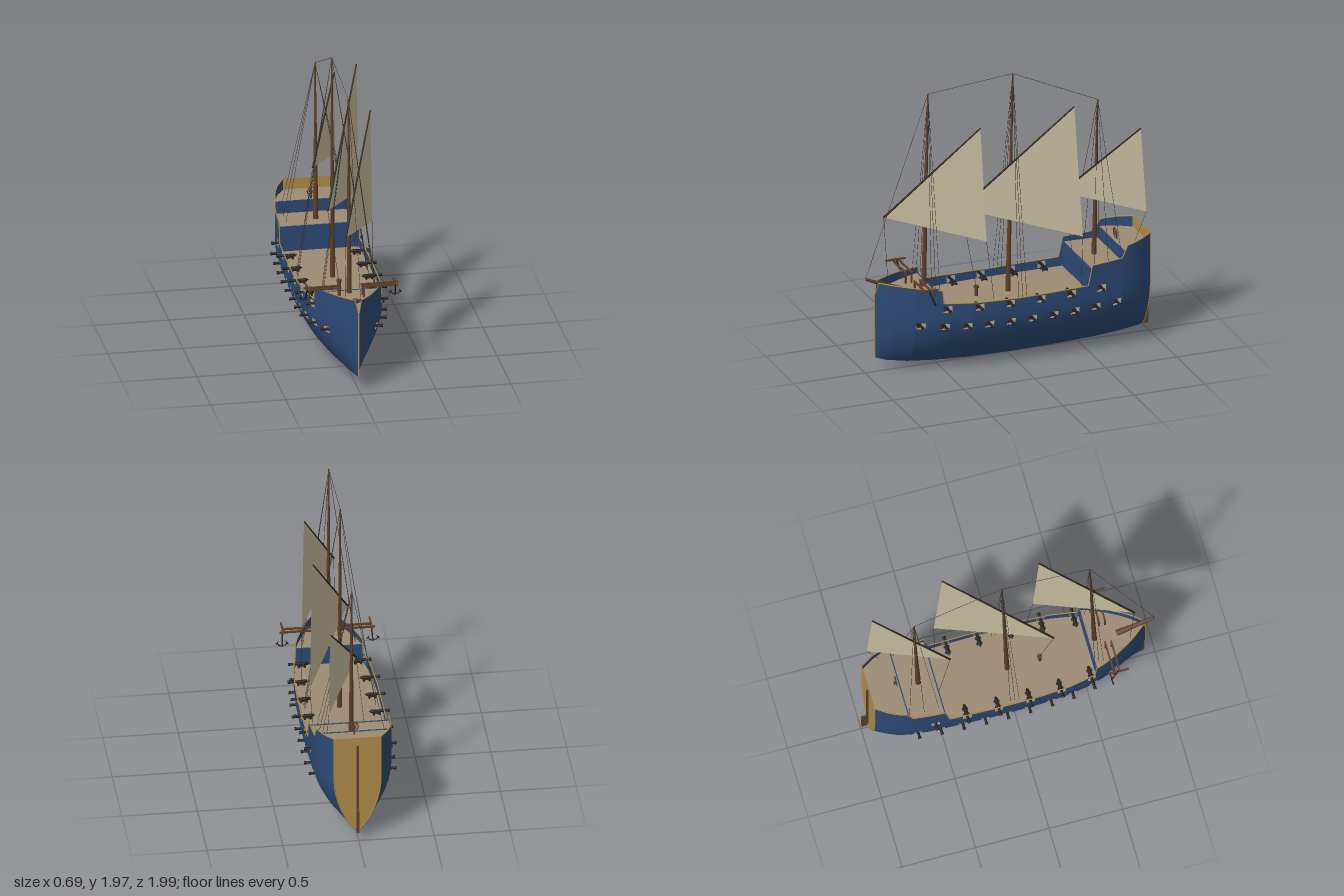
import * as THREE from 'three';
import { mergeGeometries } from 'three/addons/utils/BufferGeometryUtils.js';

const mat = (name, color, side = THREE.FrontSide) => {
  const m = new THREE.MeshStandardMaterial({ color, side });
  m.name = name;
  return m;
};

// piecewise linear lookup; table sorted by falling z
function lerpTable(table, z) {
  if (z >= table[0][0]) return table[0][1];
  for (let i = 1; i < table.length; i++) {
    const [z0, v0] = table[i - 1], [z1, v1] = table[i];
    if (z >= z1) return v0 + (v1 - v0) * (z0 - z) / (z0 - z1);
  }
  return table[table.length - 1][1];
}

// hull lines: half beam, keel height and rail height along z
const BEAM = [[0.93, 0.003], [0.9, 0.03], [0.85, 0.07], [0.8, 0.105], [0.7, 0.16], [0.6, 0.203], [0.5, 0.233], [0.35, 0.258],
  [0.15, 0.27], [-0.15, 0.273], [-0.45, 0.267], [-0.6, 0.262], [-0.72, 0.252], [-0.8, 0.235], [-0.87, 0.206], [-0.95, 0.155]];
const KEEL = [[0.93, 0.1], [0.85, 0.07], [0.7, 0.04], [0.5, 0.018], [0.3, 0.007], [0, 0], [-0.3, 0.004], [-0.6, 0.014], [-0.8, 0.03], [-0.95, 0.052]];
const RAIL = [[0.93, 0.55], [0.91, 0.63], [0.54, 0.597], [0.53, 0.505], [0.3, 0.492], [0, 0.486], [-0.47, 0.496],
  [-0.5, 0.635], [-0.715, 0.65], [-0.755, 0.73], [-0.95, 0.757]];
const STERN = -0.95, PORT_W = 0.029, PORT_H = 0.023;
const upperPorts = [0, 1, 2, 3, 4, 5].map(i => 0.505 - i * 0.214);
const lowerPorts = [...Array(10).keys()].map(i => 0.67 - i * 0.15);
const upperY = z => 0.456 + 0.03 * z * z;
const lowerY = z => 0.325 + 0.04 * z * z;

function halfWidth(y, z) {
  const t = THREE.MathUtils.clamp((y - lerpTable(KEEL, z)) / 0.4, 0, 1);
  return lerpTable(BEAM, z) * Math.pow(1 - (1 - t) ** 2, 0.8);
}

// heights of one hull section; rows 8 and 11 carry the gun ports
function sectionHeights(z) {
  const k = lerpTable(KEEL, z), lo = lowerY(z), up = upperY(z), rail = lerpTable(RAIL, z);
  const ys = [];
  for (let i = 0; i <= 8; i++) ys.push(k + (lo - PORT_H - k) * Math.pow(i / 8, 1.6));
  ys.push(lo + PORT_H, (lo + up) / 2, up - PORT_H, up + PORT_H, (up + PORT_H + rail) / 2, rail);
  return ys;
}

const stations = [...new Set([...BEAM, ...KEEL, ...RAIL].map(p => p[0])
  .concat(...[...upperPorts, ...lowerPorts].map(z => [z - PORT_W, z + PORT_W]))
  .map(z => Math.round(z * 1000) / 1000))].sort((a, b) => b - a);

// hull skin of one side with open gun ports
function hullSide(s) {
  const pos = [], idx = [], n = sectionHeights(0).length;
  for (const z of stations) for (const y of sectionHeights(z)) pos.push(s * halfWidth(y, z), y, z);
  const isPort = (list, z) => list.some(p => Math.abs(p - z) < PORT_W - 0.001);
  for (let i = 0; i < stations.length - 1; i++) {
    const zm = (stations[i] + stations[i + 1]) / 2;
    for (let j = 0; j < n - 1; j++) {
      if ((j === 8 && isPort(lowerPorts, zm)) || (j === 11 && isPort(upperPorts, zm))) continue;
      const a = i * n + j, b = a + 1, c = a + n, d = c + 1;
      if (s > 0) idx.push(a, c, b, b, c, d);
      else idx.push(a, b, c, b, d, c);
    }
  }
  const g = new THREE.BufferGeometry();
  g.setAttribute('position', new THREE.Float32BufferAttribute(pos, 3));
  g.setIndex(idx);
  g.computeVertexNormals();
  return g;
}

// tapered round bar between two points
function rod(a, b, ra, rb = ra, sides = 8) {
  const p = new THREE.Vector3(...a), q = new THREE.Vector3(...b), d = q.clone().sub(p);
  const g = new THREE.CylinderGeometry(rb, ra, d.length(), sides);
  g.applyQuaternion(new THREE.Quaternion().setFromUnitVectors(new THREE.Vector3(0, 1, 0), d.normalize()));
  return g.translate(...p.add(q).multiplyScalar(0.5).toArray());
}
const box = (w, h, d, x, y, z) => new THREE.BoxGeometry(w, h, d).translate(x, y, z);

export function createModel() {
  const hullBlue = mat('hull blue', 0x2c4a75, THREE.DoubleSide), gold = mat('gold trim', 0xb08d48, THREE.DoubleSide);
  const deckTan = mat('deck planks', 0x9c8b74, THREE.DoubleSide), sailCloth = mat('sail cloth', 0xc8bda0, THREE.DoubleSide);
  const wood = mat('brown wood', 0x5e4029), darkWood = mat('dark wood', 0x33261b);
  const iron = mat('iron', 0x1f1e1d), rope = mat('rope', 0x38332c);

  const ship = new THREE.Group();
  ship.name = 'sailingShip';
  const add = (name, geo, material, parent = ship) => {
    const m = new THREE.Mesh(Array.isArray(geo) ? mergeGeometries(geo) : geo, material);
    m.name = name;
    parent.add(m);
    return m;
  };

  // hull, stern board and trim
  const trim = [rod([0, 0.1, 0.93], [0, 0.55, 0.933], 0.005)];
  const sternYs = sectionHeights(STERN);
  for (const s of [1, -1]) {
    add(s > 0 ? 'hullLeft' : 'hullRight', hullSide(s), hullBlue);
    const railPts = stations.map(z => [s * lerpTable(BEAM, z), lerpTable(RAIL, z), z]);
    for (let i = 1; i < railPts.length; i++) trim.push(rod(railPts[i - 1], railPts[i], 0.004, 0.004, 6));
    for (let i = 1; i < sternYs.length; i++) {
      const [y0, y1] = [sternYs[i - 1], sternYs[i]];
      trim.push(rod([s * halfWidth(y0, STERN), y0, STERN], [s * halfWidth(y1, STERN), y1, STERN], 0.004, 0.004, 6));
    }
  }
  add('trim', trim, gold);
  const right = sternYs.map(y => new THREE.Vector2(halfWidth(y, STERN), y));
  const left = right.slice(1).reverse().map(p => new THREE.Vector2(-p.x, p.y));
  add('transom', new THREE.ShapeGeometry(new THREE.Shape([...right, ...left])).translate(0, 0, STERN), gold);

  // decks cut to the hull outline
  const deck = (name, y, zFront, zBack) => {
    const zs = [zFront, ...stations.filter(z => z < zFront && z > zBack), zBack];
    const pts = zs.map(z => new THREE.Vector2(halfWidth(y, z) - 0.001, -z));
    const shape = new THREE.Shape([...pts, ...pts.slice().reverse().map(p => new THREE.Vector2(-p.x, p.y))]);
    add(name, new THREE.ShapeGeometry(shape).rotateX(-Math.PI / 2).translate(0, y, 0), deckTan);
  };
  deck('gunDeck', 0.298, 0.85, -0.9);
  deck('mainDeck', 0.43, 0.6, -0.74);
  deck('foreDeck', 0.555, 0.925, 0.545);
  deck('quarterDeck', 0.6, -0.5, -0.74);
  deck('poopDeck', 0.68, -0.74, STERN);
  for (const [name, z, y0, y1] of [['foreBulkhead', 0.545, 0.43, 0.558], ['quarterBulkhead', -0.5, 0.43, 0.604], ['poopBulkhead', -0.742, 0.6, 0.684]])
    add(name, box(2 * halfWidth(y0, z) - 0.004, y1 - y0, 0.008, 0, (y0 + y1) / 2, z), hullBlue);

  // cannons: barrel and wheeled carriage, muzzle towards +x
  const barrel = new THREE.LatheGeometry([[0, -0.095], [0.004, -0.092], [0.004, -0.086], [0.011, -0.083], [0.011, -0.06], [0.008, 0.025], [0.011, 0.03],
    [0.011, 0.042], [0.006, 0.042], [0.005, 0.03], [0, 0.03]].map(p => new THREE.Vector2(...p)), 10).rotateZ(-Math.PI / 2);
  const carriageParts = [box(0.055, 0.009, 0.026, -0.045, -0.011, 0)];
  for (const x of [-0.064, -0.026]) for (const z of [-0.016, 0.016])
    carriageParts.push(new THREE.CylinderGeometry(0.008, 0.008, 0.007, 10).rotateX(Math.PI / 2).translate(x, -0.015, z));
  for (const z of [-0.0115, 0.0115]) carriageParts.push(box(0.04, 0.012, 0.004, -0.045, -0.003, z));
  const carriage = mergeGeometries(carriageParts);
  for (const [ports, heightAt] of [[upperPorts, upperY], [lowerPorts, lowerY]])
    for (const z of ports) for (const s of [1, -1]) {
      const gun = new THREE.Group();
      gun.name = 'cannon';
      add('barrel', barrel, iron, gun);
      add('carriage', carriage, darkWood, gun);
      gun.position.set(s * halfWidth(heightAt(z), z), heightAt(z), z);
      gun.rotation.y = s > 0 ? 0 : Math.PI;
      ship.add(gun);
    }

  // masts with lateen yard and sail: base, top, tack, peak, clew, shroud feet [x, y, z list], sheet foot
  const rigs = [
    ['fore', [0, 0.55, 0.585], [0, 1.91, 0.555], [-0.07, 1.05, 0.84], [0.2, 1.7, 0.265], [0.22, 0.9, 0.23], [0.175, 0.58, [0.54, 0.57, 0.6]], [0.227, 0.49, 0.18]],
    ['main', [0, 0.43, -0.008], [0, 1.965, -0.042], [-0.088, 1.02, 0.287], [0.228, 1.765, -0.385], [0.25, 0.845, -0.437], [0.235, 0.45, [-0.05, -0.02, 0.01]], [0.227, 0.49, -0.435]],
    ['mizzen', [0, 0.6, -0.614], [0, 1.69, -0.64], [-0.058, 1.045, -0.41], [0.172, 1.515, -0.877], [0.185, 0.925, -0.91], [0.215, 0.62, [-0.53, -0.63, -0.73]], [0.185, 0.73, -0.83]]];
  const lines = [], line = (a, b) => lines.push(rod(a, b, 0.0014, 0.0014, 4));
  for (const [name, base, top, tack, peak, clew, feet, sheet] of rigs) {
    add(name + 'Mast', rod(base, top, 0.017, 0.005, 12), wood);
    add(name + 'Yard', rod(tack, peak, 0.007, 0.005), darkWood);
    const g = new THREE.BufferGeometry();
    g.setAttribute('position', new THREE.Float32BufferAttribute([...tack, ...clew, ...peak], 3));
    g.computeVertexNormals();
    add(name + 'Sail', g, sailCloth);
    for (const s of [1, -1]) for (const z of feet[2]) line(top, [s * feet[0], feet[1], z]);
    line(clew, sheet);
  }
  line([0, 0.665, 0.995], rigs[0][2]);
  line(rigs[0][2], rigs[1][2]);
  line(rigs[1][2], rigs[2][2]);
  line(rigs[0][3], [-0.07, 0.6, 0.81]);
  line(rigs[1][3], [0, 0.49, 0.215]);
  line(rigs[2][3], [-0.1, 0.6, -0.5]);
  add('rigging', lines, rope);

  // bowsprit, capstan, rudder
  add('bowsprit', rod([0, 0.553, 0.74], [0, 0.662, 0.993], 0.021, 0.009, 10), wood);
  add('capstan', [rod([0, 0.43, 0.215], [0, 0.485, 0.215], 0.013, 0.013, 12), rod([0, 0.485, 0.215], [0, 0.5, 0.215], 0.017, 0.017, 12)], wood);
  add('rudder', [box(0.014, 0.165, 0.04, 0, 0.137, -0.977), box(0.012, 0.62, 0.012, 0, 0.39, -0.957)], wood);

  // steering wheel
  const wheel = [new THREE.TorusGeometry(0.028, 0.003, 6, 20).translate(0, 0.73, -0.762)];
  for (let i = 0; i < 4; i++) {
    const c = 0.038 * Math.cos(i * Math.PI / 4), s = 0.038 * Math.sin(i * Math.PI / 4);
    wheel.push(rod([-c, 0.73 - s, -0.762], [c, 0.73 + s, -0.762], 0.002, 0.002, 5));
  }
  wheel.push(box(0.01, 0.055, 0.01, 0, 0.706, -0.772));
  add('steeringWheel', wheel, wood);

  // anchor beams and hanging anchors
  for (const s of [1, -1]) {
    add('anchorBeam', [box(0.22, 0.012, 0.011, s * 0.18, 0.63, 0.68), box(0.25, 0.012, 0.011, s * 0.19, 0.63, 0.64),
      box(0.012, 0.075, 0.011, s * 0.08, 0.593, 0.68), box(0.012, 0.075, 0.011, s * 0.08, 0.593, 0.64)], wood);
    add('anchorStock', box(0.011, 0.011, 0.14, s * 0.292, 0.642, 0.67), wood);
    const arms = new THREE.TorusGeometry(0.034, 0.004, 6, 12, Math.PI * 0.8).rotateZ(Math.PI * 1.1).translate(s * 0.3, 0.572, 0.622);
    add('anchor', [rod([s * 0.292, 0.65, 0.667], [s * 0.3, 0.538, 0.62], 0.005), arms,
      rod([s * 0.3 - 0.038, 0.552, 0.622], [s * 0.3 - 0.024, 0.575, 0.622], 0.007, 0.001, 5),
      rod([s * 0.3 + 0.038, 0.552, 0.622], [s * 0.3 + 0.024, 0.575, 0.622], 0.007, 0.001, 5)], iron);
  }
  return ship;
}
